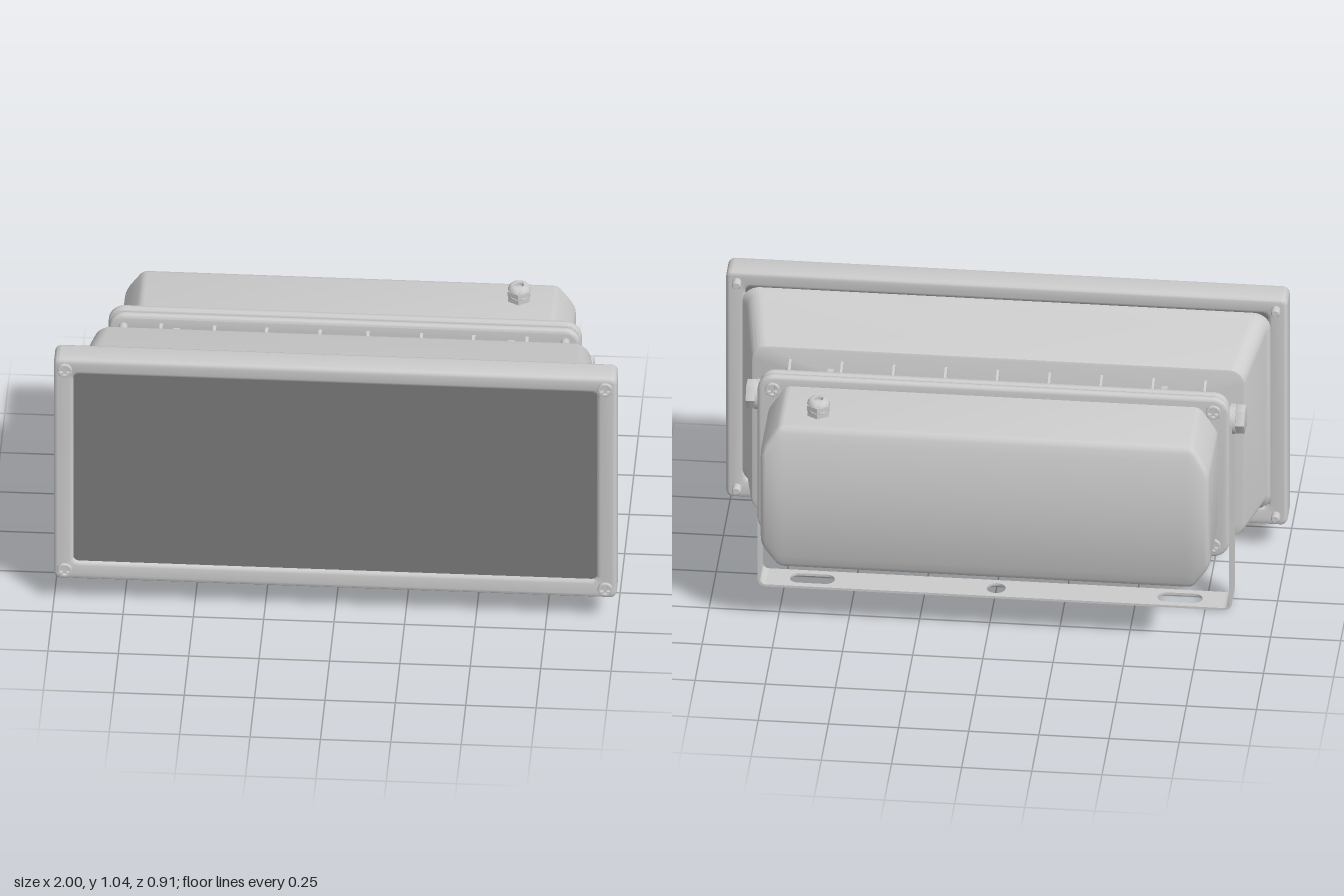
import * as THREE from 'three';
import { toCreasedNormals } from 'three/addons/utils/BufferGeometryUtils.js';

const grey = new THREE.MeshStandardMaterial({ color: 0xcccccc });
const dark = new THREE.MeshStandardMaterial({ color: 0x7a7a7a });

function add(parent, name, geo, mat = grey) {
  const mesh = new THREE.Mesh(geo, mat);
  mesh.name = name;
  parent.add(mesh);
  return mesh;
}

// rounded rectangle outline, counter-clockwise
function roundRect(x0, x1, y0, y1, r, Kind = THREE.Shape) {
  const s = new Kind();
  s.absarc(x1 - r, y1 - r, r, 0, Math.PI / 2);
  s.absarc(x0 + r, y1 - r, r, Math.PI / 2, Math.PI);
  s.absarc(x0 + r, y0 + r, r, Math.PI, Math.PI * 1.5);
  s.absarc(x1 - r, y0 + r, r, Math.PI * 1.5, Math.PI * 2);
  s.closePath();
  return s;
}

// plate from z0 to z1 with rounded rims
function plate(shape, z0, z1, b, segs = 3) {
  const g = new THREE.ExtrudeGeometry(shape, {
    depth: z1 - z0 - 2 * b, bevelEnabled: b > 0, bevelSize: b, bevelThickness: b,
    bevelOffset: -b, bevelSegments: segs, curveSegments: 10,
  });
  g.translate(0, 0, z0 + b);
  return toCreasedNormals(g, 0.65);
}

// skin over rings of points, closed by flat ends
function loft(rings) {
  const n = rings[0].length, pos = [], idx = [];
  rings.forEach(r => r.forEach(p => pos.push(p.x, p.y, p.z)));
  for (let i = 0; i < rings.length - 1; i++)
    for (let j = 0; j < n; j++) {
      const a = i * n + j, b = i * n + (j + 1) % n;
      idx.push(a, b, b + n, a, b + n, a + n);
    }
  const last = (rings.length - 1) * n;
  [0, last].forEach((base, end) => {
    const c = new THREE.Vector3();
    rings[end ? rings.length - 1 : 0].forEach(p => c.addScaledVector(p, 1 / n));
    const k = pos.length / 3;
    pos.push(c.x, c.y, c.z);
    for (let j = 0; j < n; j++) {
      const a = base + j, b = base + (j + 1) % n;
      if (end) idx.push(k, a, b); else idx.push(k, b, a);
    }
  });
  const g = new THREE.BufferGeometry();
  g.setAttribute('position', new THREE.Float32BufferAttribute(pos, 3));
  g.setIndex(idx);
  return toCreasedNormals(g, 0.6);
}

// screw along z: recessed head on one side, stud on the other
function screw(parent, name, x, y, headZ, dir, studLength) {
  const grp = new THREE.Group();
  grp.name = name;
  const head = new THREE.Shape().absarc(0, 0, 0.027, 0, Math.PI * 2);
  const cross = new THREE.Path(), a = 0.006, b = 0.017;
  cross.setFromPoints([[a, a], [a, b], [-a, b], [-a, a], [-b, a], [-b, -a], [-a, -a],
    [-a, -b], [a, -b], [a, -a], [b, -a], [b, a]].map(p => new THREE.Vector2(...p)));
  cross.closePath();
  head.holes.push(cross);
  add(grp, 'screwHead', plate(head, 0, 0.014, 0.003, 2));
  const stud = add(grp, 'screwStud', new THREE.CylinderGeometry(0.016, 0.016, studLength, 20));
  stud.rotation.x = Math.PI / 2;
  stud.position.z = 0.003 - studLength / 2;
  const tip = add(grp, 'screwTip', new THREE.CylinderGeometry(0.016, 0.012, 0.006, 20));
  tip.rotation.x = Math.PI / 2;
  tip.position.z = -studLength;
  grp.position.set(x, y, headZ);
  if (dir < 0) grp.rotation.y = Math.PI;
  parent.add(grp);
}

export function createModel() {
  const model = new THREE.Group();
  model.name = 'floodlight';

  // front frame and glass
  const frame = roundRect(-1, 1, 0.105, 1.04, 0.025);
  frame.holes.push(roundRect(-0.93, 0.93, 0.178, 0.977, 0.02, THREE.Path));
  add(model, 'frontFrame', plate(frame, 0.34, 0.445, 0.014));
  const glass = roundRect(-0.935, 0.935, 0.173, 0.982, 0.02);
  add(model, 'frontGlass', plate(glass, 0.35, 0.432, 0), dark);

  // tapered lamp housing: [z, half width, bottom, top, corner radius]
  const housing = [[0.04, 0.868, 0.24, 0.91, 0.05], [0.043, 0.876, 0.232, 0.918, 0.055],
    [0.052, 0.882, 0.228, 0.922, 0.06], [0.318, 0.925, 0.182, 0.966, 0.06],
    [0.332, 0.931, 0.177, 0.971, 0.06], [0.342, 0.942, 0.168, 0.98, 0.065]];
  add(model, 'lampHousing', loft(housing.map(([z, w, y0, y1, r]) =>
    roundRect(-w, w, y0, y1, r).getPoints(8).slice(0, -1)
      .map(p => new THREE.Vector3(p.x, p.y, z)))));

  // ribs on the lamp housing and on the rear box, interleaved
  const rib = (name, x, t, outline) => {
    const s = new THREE.Shape(outline.map(([z, y]) => new THREE.Vector2(-z, y)));
    const g = new THREE.ExtrudeGeometry(s, { depth: t, bevelEnabled: false });
    g.translate(0, 0, -t / 2);
    g.rotateY(Math.PI / 2);
    add(model, name, g).position.x = x;
  };
  for (let i = -4; i <= 4; i++)
    rib('housingRib', i * 0.185, 0.009,
      [[0.045, 0.275], [-0.045, 0.325], [-0.045, 0.825], [0.045, 0.875]]);
  for (const x of [0.085, 0.275, 0.46, 0.65])
    for (const s of [-1, 1])
      rib('boxRib', s * x, 0.011, [[0, 0.31], [-0.075, 0.28], [-0.075, 0.87], [0, 0.84]]);
  for (const s of [-1, 1])
    rib('joiningRib', s * 0.595, 0.022, [[0.045, 0.31], [-0.075, 0.3], [-0.075, 0.85], [0.045, 0.84]]);

  // double flange with a seal in the groove
  const flange = d => roundRect(-0.84 + d, 0.84 - d, 0.248 + d, 0.9 - d, 0.06 - d);
  add(model, 'frontFlange', plate(flange(0.004), -0.098, -0.066, 0.012));
  add(model, 'flangeSeal', plate(flange(0.018), -0.115, -0.085, 0));
  add(model, 'rearFlange', plate(flange(0), -0.134, -0.102, 0.012));

  // rear box: bulging back, chamfered ends; [x, half height, inset of back]
  const half = [[0.72, 0.292, 0], [0.732, 0.289, 0], [0.744, 0.28, 0.001],
    [0.782, 0.222, 0.004], [0.793, 0.204, 0.01], [0.798, 0.193, 0.019], [0.8, 0.187, 0.03]];
  const stations = [...half.map(([x, h, d]) => [-x, h, d]).reverse(), ...half];
  add(model, 'rearBox', loft(stations.map(([x, h, d]) => {
    const ring = [[h, -0.12], [-h, -0.12]];
    const back = y => -0.456 + 0.043 * (y / 0.292) ** 2 + d;
    const edge = h - 0.024, zc = back(edge);
    const fillet = [[h, zc + 0.028], [h - 0.003, zc + 0.016], [h - 0.011, zc + 0.006]];
    fillet.forEach(([y, z]) => ring.push([-y, z]));
    for (let i = -8; i <= 8; i++) ring.push([edge * i / 8, back(edge * i / 8)]);
    fillet.reverse().forEach(([y, z]) => ring.push([y, z]));
    return ring.map(([y, z]) => new THREE.Vector3(x, 0.573 + y, z));
  })));

  // cable gland on top of the rear box
  const gland = new THREE.Group();
  gland.name = 'cableGland';
  gland.position.set(0.605, 0.862, -0.308);
  model.add(gland);
  const lathe = pts => toCreasedNormals(
    new THREE.LatheGeometry(pts.map(p => new THREE.Vector2(...p)), 32), 0.6);
  const hexNut = (name, r, y0, y1) => add(gland, name, toCreasedNormals(
    new THREE.CylinderGeometry(r, r, y1 - y0, 6), 0.3)).position.y = (y0 + y1) / 2;
  hexNut('glandBase', 0.043, 0, 0.02);
  add(gland, 'glandCollar', lathe([[0, 0.016], [0.036, 0.016], [0.041, 0.02], [0.041, 0.026], [0.036, 0.03], [0, 0.03]]));
  hexNut('glandNut', 0.045, 0.027, 0.046);
  add(gland, 'glandDome', lathe([[0.04, 0.044], [0.038, 0.052], [0.033, 0.059],
    [0.026, 0.063], [0.018, 0.064], [0.016, 0.062], [0.015, 0.05], [0, 0.05]]));

  // bracket: bent strip with holes in the base and rounded arm ends
  const bracket = new THREE.Group();
  bracket.name = 'bracket';
  model.add(bracket);
  const zc = -0.028, hw = 0.0555, t = 0.009, X = 0.845, R = 0.03;
  const base = new THREE.Shape([[-X + R, -hw], [X - R, -hw], [X - R, hw], [-X + R, hw]]
    .map(p => new THREE.Vector2(...p)));
  base.holes.push(new THREE.Path().absarc(0, 0, 0.034, 0, Math.PI * 2));
  for (const s of [-1, 1])
    base.holes.push(roundRect(s * 0.655 - 0.08, s * 0.655 + 0.08, -0.032, 0.032, 0.0319, THREE.Path));
  const baseMesh = add(bracket, 'bracketBase', plate(base, 0, t, 0));
  baseMesh.rotation.x = -Math.PI / 2;
  baseMesh.position.z = zc;
  for (const s of [-1, 1]) {
    const arm = new THREE.Shape();
    arm.moveTo(-hw, R);
    arm.lineTo(hw, R);
    arm.absarc(0, 0.762, hw, 0, Math.PI);
    arm.closePath();
    const armMesh = add(bracket, 'bracketArm', plate(arm, -t / 2, t / 2, 0));
    armMesh.rotation.y = Math.PI / 2;
    armMesh.position.set(s * (X - t / 2), 0, zc);
    const bend = new THREE.Shape();
    bend.absarc(0, 0, R, Math.PI * 1.5, Math.PI * 2);
    bend.absarc(0, 0, R - t, Math.PI * 2, Math.PI * 1.5, true);
    const bendMesh = add(bracket, 'bracketBend', plate(bend, -hw, hw, 0));
    bendMesh.position.set(s * (X - R), R, zc);
    if (s < 0) bendMesh.rotation.y = Math.PI;

    // pivot bolt, washer and boss
    const pivot = (name, r, x0, x1, sides) => {
      const m = add(model, name, toCreasedNormals(
        new THREE.CylinderGeometry(r, r, x1 - x0, sides), 0.5));
      m.rotation.z = Math.PI / 2;
      if (sides === 6) m.rotation.set(Math.PI / 2, 0, Math.PI / 2, 'ZYX');
      m.position.set(s * (x0 + x1) / 2, 0.762, zc);
    };
    pivot('pivotBoss', 0.045, 0.77, 0.838, 32);
    pivot('pivotWasher', 0.054, 0.844, 0.856, 32);
    const head = new THREE.Shape();
    for (let i = 0; i < 6; i++) {
      const a = i * Math.PI / 3;
      head[i ? 'lineTo' : 'moveTo'](0.052 * Math.cos(a), 0.052 * Math.sin(a));
    }
    head.closePath();
    const headMesh = add(model, 'pivotBoltHead', plate(head, 0, 0.034, 0.004, 2));
    headMesh.rotation.y = s * Math.PI / 2;
    headMesh.position.set(s * 0.855, 0.762, zc);
    add(model, 'pivotLug', new THREE.BoxGeometry(0.04, 0.08, 0.06)).position.set(s * 0.79, 0.762, -0.05);

    // corner screws of frame and flange
    for (const y of [0.147, 0.998]) screw(model, 'frameScrew', s * 0.96, y, 0.443, 1, 0.13);
    for (const y of [0.298, 0.85]) screw(model, 'flangeScrew', s * 0.785, y, -0.132, -1, 0.108);
  }
  return model;
}
